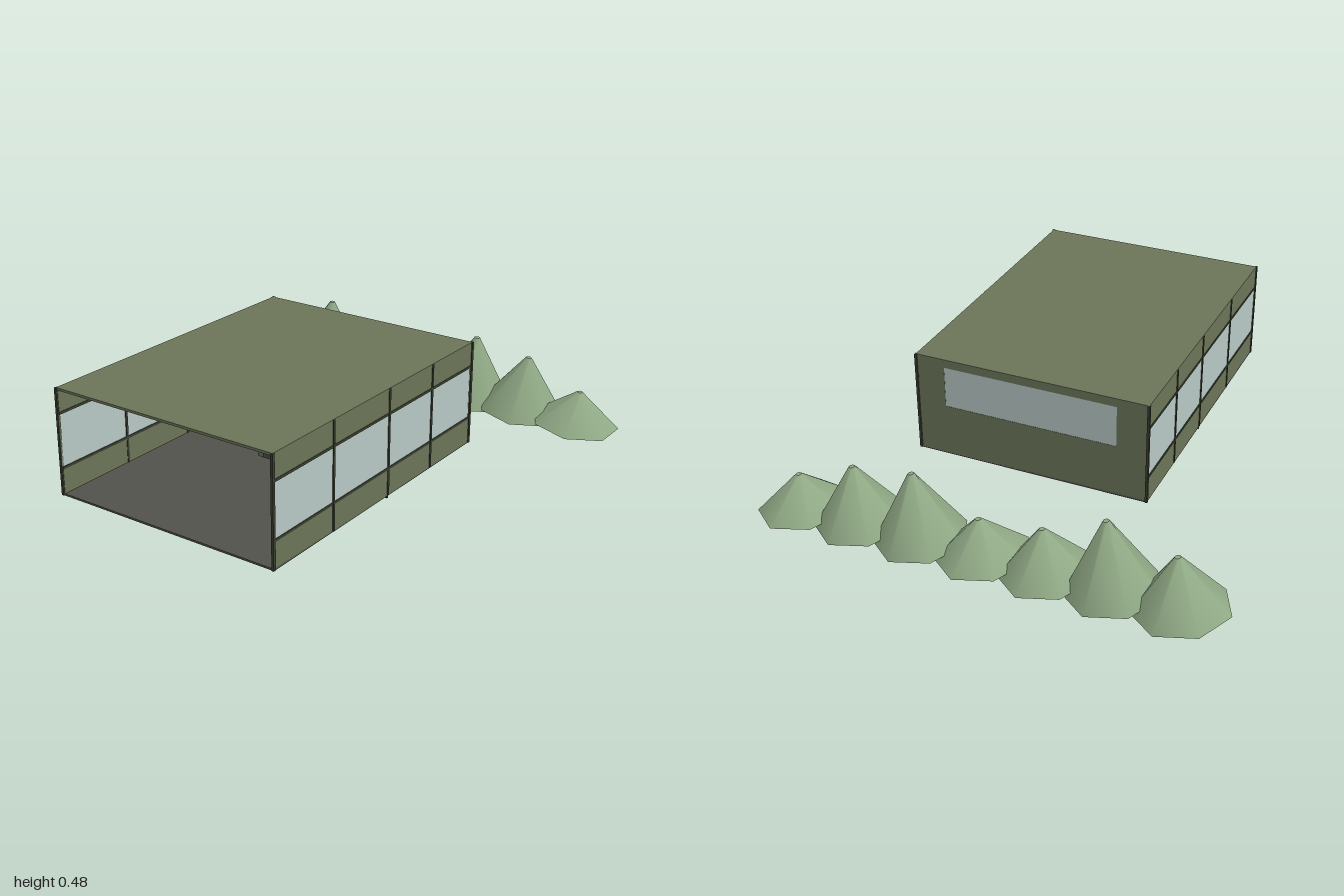
import * as THREE from 'three';

export function createModel() {
  const group = new THREE.Group();
  const mat = (name, color, side = THREE.FrontSide) => {
    const m = new THREE.MeshStandardMaterial({ color, side });
    m.name = name;
    return m;
  };
  const olive = mat('olive wall', 0x6b7558);
  const dark = mat('dark frame', 0x3a3f30);
  const glass = mat('pale glass', 0xb8c8c5);
  const floorMat = mat('grey floor', 0x50524a);
  const hillMat = mat('sage hill', 0x8fa884);
  const panelMat = mat('dark panel', 0x4a4d48);

  const add = (name, geo, material, x, y, z, parent = group) => {
    const m = new THREE.Mesh(geo, material);
    m.name = name;
    m.position.set(x, y, z);
    parent.add(m);
    return m;
  };
  // box given by its limits on each axis
  const box = (name, material, x0, x1, y0, y1, z0, z1) =>
    add(name, new THREE.BoxGeometry(x1 - x0, y1 - y0, z1 - z0), material,
      (x0 + x1) / 2, (y0 + y1) / 2, (z0 + z1) / 2);

  // Shell limits
  const L = -0.435, R = 0.552, B = 0.056, T = 0.486, Z0 = -0.31, Z1 = 0.992;
  const sill = 0.165, head = 0.385, mid = (L + R) / 2;

  // Floor, roof and the joint strip under the floor
  box('floor', floorMat, L, R, B - 0.004, B + 0.004, Z0, Z1);
  box('roof', olive, L, R, T - 0.01, T, Z0, Z1);
  box('floorJoint', dark, L, R, 0.043, B, 0.286, 0.294);

  // Side walls: solid bands, ribbon glazing, rails and mullions
  for (const s of [-1, 1]) {
    const xo = s < 0 ? L : R;
    const side = (name, material, y0, y1, z0, z1, out, depth) => {
      const a = xo + s * out, b = xo - s * depth;
      box(name, material, Math.min(a, b), Math.max(a, b), y0, y1, z0, z1);
    };
    side('lowerSideWall', olive, B, sill, Z0, Z1, 0, 0.008);
    side('upperSideWall', olive, head, T - 0.01, Z0, Z1, 0, 0.008);
    side('sideGlass', glass, sill, head, Z0, Z1, -0.001, 0.006);
    for (const y of [sill, head])
      side('windowRail', dark, y - 0.005, y + 0.005, Z0, Z1, 0.002, 0.01);
    for (const z of [0.644, 0.29, -0.01])
      side('mullion', dark, B, T - 0.002, z - 0.005, z + 0.005, 0.003, 0.01);
    for (const z of [Z0, Z1])
      side('cornerPost', dark, B - 0.002, T, z - 0.006, z + 0.006, 0.004, 0.006);
  }

  // Back wall with a wide window opening
  const wx0 = -0.305, wx1 = 0.428, wy0 = 0.275, wy1 = 0.45;
  const wall = new THREE.Shape([[L, B], [R, B], [R, T - 0.01], [L, T - 0.01]].map(p => new THREE.Vector2(...p)));
  wall.holes.push(new THREE.Path([[wx0, wy0], [wx0, wy1], [wx1, wy1], [wx1, wy0]].map(p => new THREE.Vector2(...p))));
  add('backWall', new THREE.ExtrudeGeometry(wall, { depth: 0.01, bevelEnabled: false }), olive, 0, 0, Z0);
  box('backGlass', glass, wx0, wx1, wy0, wy1, Z0 + 0.001, Z0 + 0.007);
  for (const y of [wy0, wy1])
    box('backWindowRail', dark, wx0 - 0.005, wx1 + 0.005, y - 0.005, y + 0.005, Z0 + 0.006, Z0 + 0.016);
  for (const x of [wx0, wx1])
    box('backWindowStile', dark, x - 0.005, x + 0.005, wy0, wy1, Z0 + 0.006, Z0 + 0.016);

  // Nested oval rings standing in the room
  const rings = new THREE.Group();
  rings.name = 'ovalRings';
  rings.position.set(-0.013, 0.25, 0.13);
  group.add(rings);
  for (const r of [0.272, 0.222, 0.17, 0.12, 0.068]) {
    const ring = add('ovalRing', new THREE.TorusGeometry(r, 0.007, 8, 64), olive, 0, 0, 0, rings);
    ring.scale.y = 0.66;
  }
  const ringFoot = box('ringFoot', dark, -0.045, 0.02, 0.048, 0.075, 0.12, 0.14);
  ringFoot.position.x = -0.013;

  // Low console with a dark face
  box('console', olive, -0.05, 0.165, B, 0.105, 0.22, 0.3);
  box('consolePanel', panelMat, -0.025, 0.14, 0.062, 0.1, 0.3, 0.305);

  // Columns of round knobs and slim plates beside the window
  for (const s of [-1, 1]) {
    const x = mid + s * 0.46;
    for (let i = 0; i < 4; i++) {
      const y = 0.105 + i * 0.08;
      const knob = add('wallKnob', new THREE.SphereGeometry(0.03, 20, 12), olive, x, y, -0.285);
      knob.scale.z = 0.6;
      box('knobBracket', dark, x - 0.028, x + 0.028, y - 0.003, y + 0.003, -0.3, -0.266);
    }
    box('wallPlate', olive, mid + s * 0.388 - 0.006, mid + s * 0.388 + 0.006, 0.305, 0.36, -0.3, -0.293);
  }

  // Potted plant
  [[0.41, 0.036, 0.045], [0.472, 0.032, 0.037]].forEach(([x, rx, ry]) => {
    const leaf = add('plantCrown', new THREE.SphereGeometry(1, 20, 12), olive, x, 0.22, -0.2);
    leaf.scale.set(rx, ry, rx);
  });
  add('plantStem', new THREE.CylinderGeometry(0.004, 0.004, 0.13, 8), olive, 0.41, 0.12, -0.2);
  add('plantPot', new THREE.CylinderGeometry(0.022, 0.008, 0.02, 12), olive, 0.41, 0.14, -0.2);

  // Row of seven-sided hills behind, each leaning slightly
  [0.245, 0.32, 0.21, 0.18, 0.305, 0.267, 0.165].forEach((peak, i) => {
    const baseY = 0.03 - i * 0.0012, h = peak - baseY;
    const geo = new THREE.CylinderGeometry(0.012, 0.185, h, 7);
    geo.translate(0, h / 2, 0);
    geo.rotateY(-Math.PI / 2);
    const hill = add('hill', geo, hillMat, -0.766 + i * 0.258, baseY, -0.82);
    hill.rotation.z = -0.105;
  });

  return group;
}
